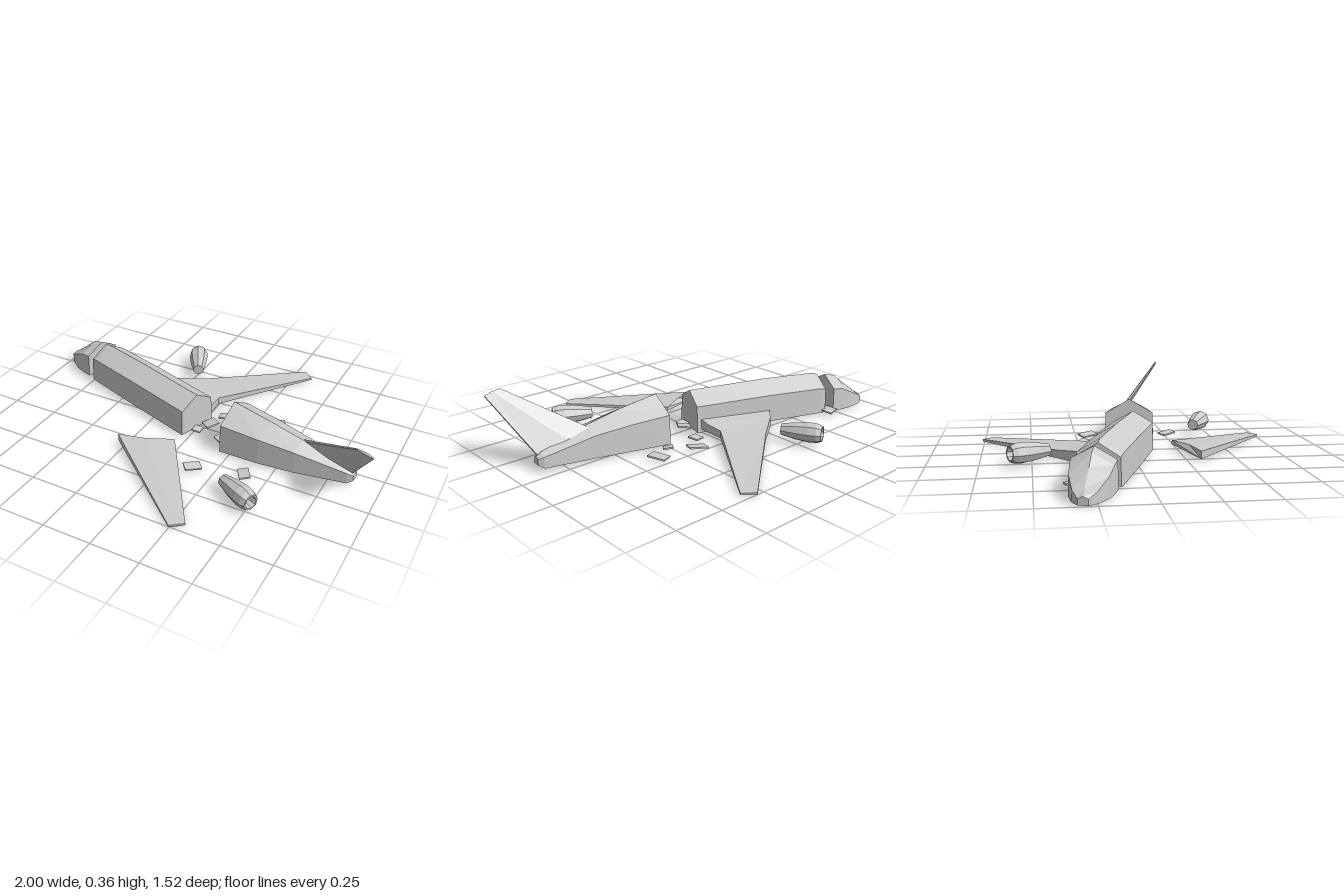
import * as THREE from 'three';

const material = new THREE.MeshStandardMaterial({ color: 0xcccccc, flatShading: true, side: THREE.DoubleSide });

// Closed skin over a list of rings, each with the same number of [x, y, z] corners
function loft(name, rings) {
  const n = rings[0].length, tris = [];
  for (let i = 0; i < rings.length - 1; i++) {
    for (let j = 0; j < n; j++) {
      const k = (j + 1) % n;
      const a = rings[i][j], b = rings[i][k], c = rings[i + 1][k], d = rings[i + 1][j];
      tris.push([a, b, c], [a, c, d]);
    }
  }
  const first = rings[0], last = rings[rings.length - 1];
  for (let j = 1; j < n - 1; j++) {
    tris.push([first[0], first[j + 1], first[j]], [last[0], last[j], last[j + 1]]);
  }
  // Turn the faces outward if the rings run the other way
  let volume = 0;
  const v = p => new THREE.Vector3(...p);
  for (const [a, b, c] of tris) volume += v(a).dot(v(b).cross(v(c)));
  if (volume < 0) tris.forEach(t => t.reverse());
  const geometry = new THREE.BufferGeometry();
  geometry.setAttribute('position', new THREE.Float32BufferAttribute(tris.flat(2), 3));
  geometry.computeVertexNormals();
  const mesh = new THREE.Mesh(geometry, material);
  mesh.name = name;
  return mesh;
}

// Hull section: flat belly, upright sides, ridged roof; each row is
// [x, z, halfWidth, bellyY, shoulderY, ridgeY]
function hull(name, yaw, rows) {
  const px = -Math.sin(yaw), pz = Math.cos(yaw);
  return loft(name, rows.map(([x, z, w, belly, shoulder, ridge]) => {
    const at = (s, y) => [x + px * s, y, z + pz * s];
    return [at(-w * 1.04, belly), at(-w, shoulder), at(0, ridge), at(w, shoulder), at(w * 1.04, belly)];
  }));
}

// Wing section: leading edge [x, low, high, z], trailing edge [x, low, high, z]
function wing(name, rows) {
  return loft(name, rows.map(([a, b]) => [
    [a[0], a[1], a[3]], [a[0], a[2], a[3]], [b[0], b[2], b[3]], [b[0], b[1], b[3]],
  ]));
}

// Eight-sided nacelle from its narrow exhaust to its hollow intake
function engine(name, from, to) {
  const profile = [[0, 0], [0.03, 0], [0.044, 0.07], [0.052, 0.14], [0.05, 0.18], [0.04, 0.205], [0.032, 0.205], [0.022, 0.15], [0, 0.15]];
  const geometry = new THREE.LatheGeometry(profile.map(p => new THREE.Vector2(...p)), 8, Math.PI / 8);
  const mesh = new THREE.Mesh(geometry, material);
  const start = new THREE.Vector3(...from);
  const direction = new THREE.Vector3(...to).sub(start).normalize();
  mesh.quaternion.setFromUnitVectors(new THREE.Vector3(0, 1, 0), direction);
  mesh.position.copy(start);
  mesh.name = name;
  return mesh;
}

export function createModel() {
  const group = new THREE.Group();
  group.name = 'brokenAirliner';

  // Three separated hull pieces
  group.add(hull('nose', 0.31, [
    [-0.993, -0.31, 0.022, 0.008, 0.035, 0.045],
    [-0.96, -0.3, 0.052, 0.008, 0.058, 0.067],
    [-0.88, -0.277, 0.085, 0.01, 0.1, 0.13],
    [-0.82, -0.26, 0.095, 0.012, 0.13, 0.18],
    [-0.76, -0.245, 0.1, 0.014, 0.14, 0.195],
  ]));
  group.add(hull('mainFuselage', 0.325, [
    [-0.72, -0.225, 0.097, 0.012, 0.14, 0.2],
    [-0.69, -0.215, 0.1, 0.012, 0.15, 0.21],
    [-0.4, -0.115, 0.102, 0.012, 0.155, 0.216],
    [0, 0.02, 0.102, 0.012, 0.152, 0.21],
  ]));
  group.add(hull('tailFuselage', 0.12, [
    [0.215, 0.028, 0.126, 0.014, 0.165, 0.24],
    [0.42, 0.055, 0.104, 0.017, 0.152, 0.205],
    [0.6, 0.072, 0.077, 0.02, 0.132, 0.165],
    [0.85, 0.081, 0.034, 0.025, 0.08, 0.095],
    [0.875, 0.084, 0.02, 0.04, 0.07, 0.078],
  ]));

  // Leaning tail fin: [x, y, z, halfThickness] per corner
  const fin = [
    [[0.59, 0.145, 0.05, 0.006], [0.72, 0.115, 0.068, 0.016], [0.86, 0.07, 0.085, 0.005]],
    [[0.92, 0.363, 0.29, 0.003], [0.96, 0.355, 0.293, 0.006], [0.997, 0.343, 0.295, 0.003]],
  ];
  group.add(loft('tailFin', fin.map(row => {
    const face = s => row.map(([x, y, z, t]) => [x, y - s * t * 0.7, z + s * t * 0.7]);
    return [...face(1), ...face(-1).reverse()];
  })));

  // Wing still attached, with a raised root, and the torn-off wing
  group.add(wing('attachedWing', [
    [[-0.37, 0.012, 0.075, -0.2], [0.01, 0.03, 0.085, -0.07]],
    [[-0.3, 0.012, 0.07, -0.275], [0.015, 0.028, 0.072, -0.14]],
    [[-0.16, 0.01, 0.05, -0.375], [0.005, 0.02, 0.058, -0.22]],
    [[0.3, 0.01, 0.022, -0.76], [0.355, 0.01, 0.02, -0.71]],
  ]));
  group.add(loft('detachedWing', [
    [[-0.295, 0.015, 0.315], [-0.295, 0.055, 0.315], [-0.15, 0.058, 0.285], [-0.02, 0.055, 0.22], [-0.02, 0.035, 0.22], [-0.15, 0.022, 0.285]],
    [[0.25, 0.01, 0.757], [0.25, 0.02, 0.757], [0.28, 0.021, 0.735], [0.31, 0.02, 0.71], [0.31, 0.01, 0.71], [0.28, 0.009, 0.735]],
  ]));

  group.add(engine('backEngine', [-0.225, 0.067, -0.42], [-0.315, 0.072, -0.595]));
  group.add(engine('frontEngine', [0.345, 0.065, 0.408], [0.53, 0.068, 0.5]));

  // Scattered skin panels: [x, z, width, depth, yaw, height]
  const panels = [
    [-0.7, -0.335, 0.06, 0.065, 0.2, 0.025],
    [0.16, -0.22, 0.095, 0.062, -0.35, 0.02],
    [0.09, -0.13, 0.06, 0.055, 0.25, 0.02],
    [0.27, -0.13, 0.05, 0.045, -0.6, 0.018],
    [0.375, -0.185, 0.07, 0.09, 0.45, 0.02],
    [0.065, -0.01, 0.065, 0.07, -0.6, 0.04],
    [0.02, 0.05, 0.045, 0.055, 0.1, 0.025],
    [0.165, 0.05, 0.065, 0.07, -0.6, 0.02],
    [0.385, 0.265, 0.055, 0.085, 0.55, 0.016],
    [0.14, 0.33, 0.085, 0.052, 0.75, 0.018],
  ];
  panels.forEach(([x, z, w, d, yaw, y], i) => {
    const panel = new THREE.Mesh(new THREE.BoxGeometry(w, 0.008, d), material);
    panel.position.set(x, y, z);
    panel.rotation.set(i % 2 ? 0.12 : -0.1, yaw, i % 3 ? 0.1 : -0.12, 'YXZ');
    panel.name = 'debrisPanel' + (i + 1);
    group.add(panel);
  });

  return group;
}
